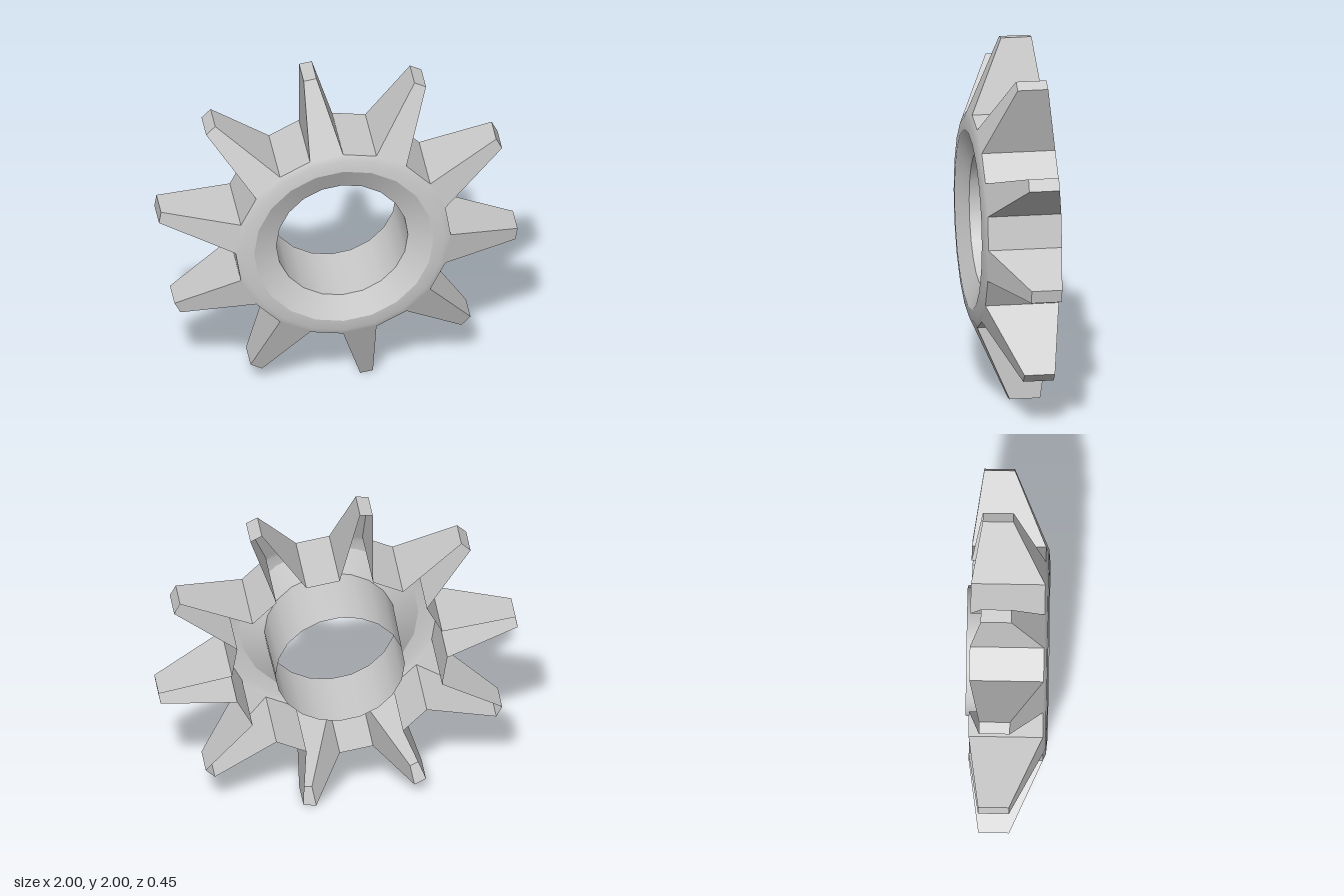
import * as THREE from 'three';

const material = new THREE.MeshStandardMaterial({ color: 0xcccccc, side: THREE.DoubleSide });
const SIDES = 20, STEP = (Math.PI * 2) / SIDES, HUB_R = 0.6;
const FRONT = 0.2, BACK = -0.21;

// Flat-shaded surface from four-cornered faces
function quads(faces) {
  const points = faces.flatMap(([a, b, c, d]) => [a, b, c, a, c, d]).flat();
  const geometry = new THREE.BufferGeometry();
  geometry.setAttribute('position', new THREE.Float32BufferAttribute(points, 3));
  geometry.computeVertexNormals();
  return geometry;
}

// Smooth ring about the z axis from [radius, z] points
function ring(name, profile) {
  const geometry = new THREE.LatheGeometry(profile.map(([r, z]) => new THREE.Vector2(r, z)), SIDES);
  geometry.rotateX(Math.PI / 2);
  const mesh = new THREE.Mesh(geometry, material);
  mesh.name = name;
  return mesh;
}

export function createModel() {
  const model = new THREE.Group();
  model.name = 'spikedWheel';
  const wheel = new THREE.Group();
  wheel.name = 'wheel';
  wheel.position.y = 1;
  model.add(wheel);

  // Thin hub shell, open at the back
  wheel.add(ring('boreTube', [[0.36, -0.23], [0.367, 0.16]]));
  wheel.add(ring('innerBevel', [[0.367, 0.16], [0.5, 0.222]]));
  wheel.add(ring('frontRim', [[0.5, 0.222], [0.565, 0.216], [HUB_R, FRONT]]));

  // Base edge of a rim facet, and the smaller end of a spike
  const baseR = HUB_R * Math.cos(STEP / 2), baseW = HUB_R * Math.sin(STEP / 2);
  const base = (side, z) => [baseR, side * baseW, z];
  const tip = (side, z) => [1.007, side * 0.036, z];
  const tipFront = 0.02, tipBack = -0.15;

  const facet = quads([[base(-1, BACK), base(1, BACK), base(1, FRONT), base(-1, FRONT)]]);

  // Hollow spike: sloped front, two sides and end, open at the back and base
  const spike = quads([
    [base(-1, FRONT), tip(-1, tipFront), tip(1, tipFront), base(1, FRONT)],
    [base(1, BACK), base(1, FRONT), tip(1, tipFront), tip(1, tipBack)],
    [base(-1, BACK), tip(-1, tipBack), tip(-1, tipFront), base(-1, FRONT)],
    [tip(-1, tipBack), tip(1, tipBack), tip(1, tipFront), tip(-1, tipFront)],
  ]);

  // Facets and spikes alternate around the hub
  for (let i = 0; i < SIDES; i++) {
    const isSpike = i % 2 === 1;
    const mesh = new THREE.Mesh(isSpike ? spike : facet, material);
    mesh.name = isSpike ? 'spike' : 'hubFacet';
    mesh.rotation.z = (i + 0.5) * STEP;
    wheel.add(mesh);
  }
  return model;
}
